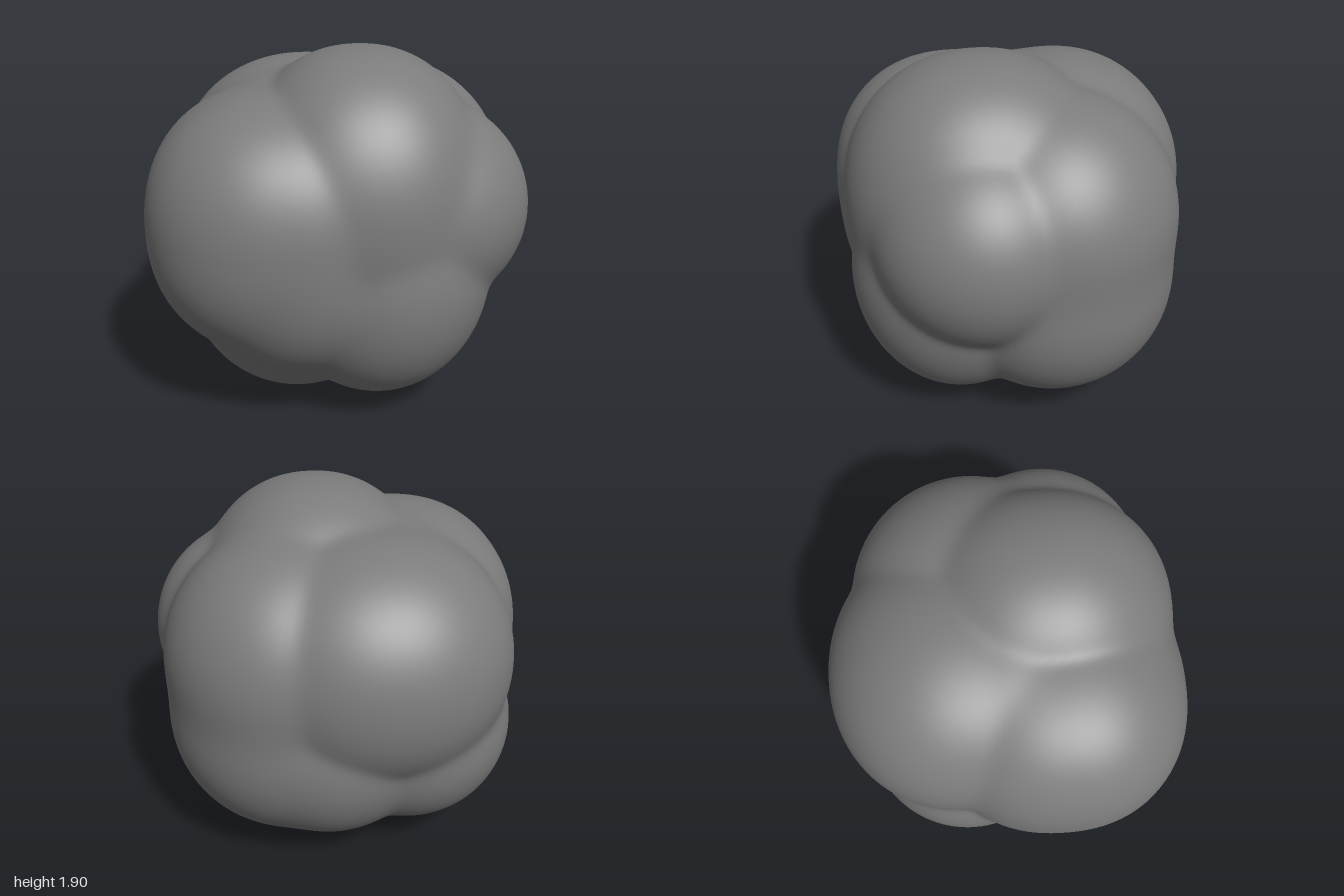
import * as THREE from 'three';
import { mergeVertices } from 'three/addons/utils/BufferGeometryUtils.js';

// Rounded lobes whose union forms the boulder:
// centre x, y, z, radii x, y, z and squareness (2 is a plain ellipsoid)
const LOBES = [
  [-0.30, 1.04, 0.24, 0.70, 0.69, 0.69, 2.25], // front right
  [-0.20, 0.85, 0.27, 0.64, 0.64, 0.64, 2], // front right underside
  [0.12, 1.16, 0.18, 0.65, 0.755, 0.71, 2.15], // crown
  [-0.20, 1.10, -0.02, 0.66, 0.66, 0.66, 2], // right shoulder
  [0.20, 0.77, 0.31, 0.60, 0.69, 0.58, 2], // lower front
  [0.44, 1.09, 0.22, 0.56, 0.56, 0.56, 2], // left knob
  [0.30, 1.11, -0.17, 0.65, 0.66, 0.65, 2], // upper back left
  [0.30, 0.94, -0.17, 0.64, 0.64, 0.64, 2], // middle back left
  [0.30, 0.76, -0.17, 0.65, 0.66, 0.65, 2], // lower back left
  [-0.14, 1.12, -0.27, 0.72, 0.66, 0.675, 2.1], // upper back
  [0.10, 0.72, -0.26, 0.61, 0.61, 0.61, 2], // lower back
  [-0.33, 0.70, -0.24, 0.56, 0.56, 0.56, 2], // lower back right
  [-0.21, 0.63, 0.07, 0.61, 0.62, 0.61, 2], // bottom
];
const CORE = new THREE.Vector3(0, 0.95, 0); // lies inside every lobe
const BLEND = 60; // higher values give sharper creases

// Distance from the core to the surface of a lobe along direction d
function reach(d, [x, y, z, a, b, c, n]) {
  let near = 0, far = 1.5;
  for (let i = 0; i < 20; i++) {
    const r = (near + far) / 2;
    const level = Math.abs((CORE.x + r * d.x - x) / a) ** n
      + Math.abs((CORE.y + r * d.y - y) / b) ** n
      + Math.abs((CORE.z + r * d.z - z) / c) ** n;
    if (level < 1) near = r; else far = r;
  }
  return near;
}

export function createModel() {
  const stone = new THREE.MeshStandardMaterial({ color: 0x7c7c7c });
  stone.name = 'stone grey';

  // Push a fine sphere out to the softly blended farthest lobe in every direction
  let geo = new THREE.SphereGeometry(1, 144, 96);
  geo.deleteAttribute('uv');
  geo.deleteAttribute('normal');
  geo = mergeVertices(geo, 1e-4);
  const pos = geo.attributes.position;
  const d = new THREE.Vector3();
  for (let i = 0; i < pos.count; i++) {
    d.fromBufferAttribute(pos, i).normalize();
    const r = LOBES.reduce((sum, lobe) => sum + reach(d, lobe) ** BLEND, 0) ** (1 / BLEND);
    d.multiplyScalar(r).add(CORE);
    pos.setXYZ(i, d.x, d.y, d.z);
  }
  geo.computeVertexNormals();

  const boulder = new THREE.Mesh(geo, stone);
  boulder.name = 'boulder';
  const group = new THREE.Group();
  group.name = 'rock';
  group.add(boulder);
  return group;
}
